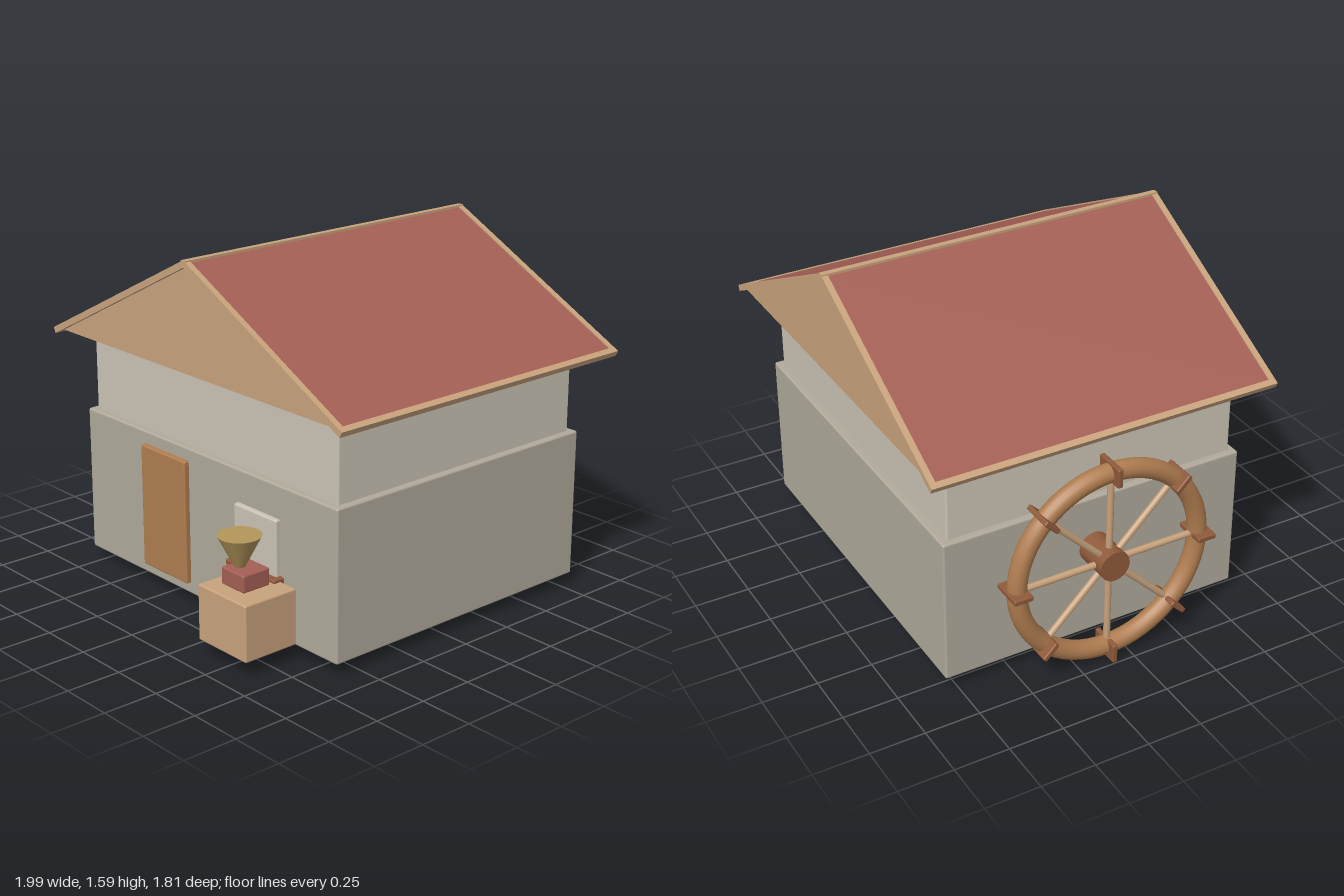
import * as THREE from 'three';
import { RoundedBoxGeometry } from 'three/addons/geometries/RoundedBoxGeometry.js';

const mat = (name, color) => {
  const m = new THREE.MeshStandardMaterial({ color });
  m.name = name;
  return m;
};

export function createModel() {
  const stone = mat('stone', 0xb0a99b);
  const plaster = mat('plaster', 0xcbc3b5);
  const lightWood = mat('light wood', 0xc8a27c);
  const wood = mat('wood', 0xb07d50);
  const darkWood = mat('dark wood', 0x8f5a3a);
  const red = mat('red tile', 0xa45f54);
  const brass = mat('brass', 0xb3965a);

  const model = new THREE.Group();
  model.name = 'watermill';

  const add = (name, geometry, material, parent = model) => {
    const mesh = new THREE.Mesh(geometry, material);
    mesh.name = name;
    parent.add(mesh);
    return mesh;
  };
  // Softly bevelled box given by its extents
  const block = (name, material, [x0, x1], [y0, y1], [z0, z1], bevel = 0.008) => {
    const geometry = new RoundedBoxGeometry(x1 - x0, y1 - y0, z1 - z0, 2, bevel);
    add(name, geometry, material).position.set((x0 + x1) / 2, (y0 + y1) / 2, (z0 + z1) / 2);
  };

  // Walls
  block('lowerWall', stone, [-0.805, 0.877], [0.055, 0.732], [-0.802, 0.622], 0.01);
  block('upperWall', plaster, [-0.775, 0.847], [0.7, 1.11], [-0.77, 0.592], 0.01);

  // Door, window and sill
  block('door', wood, [-0.38, -0.07], [0.108, 0.675], [0.6, 0.647]);
  block('window', plaster, [0.258, 0.53], [0.33, 0.585], [0.6, 0.645]);
  block('windowSill', darkWood, [0.236, 0.552], [0.308, 0.336], [0.6, 0.675]);

  // Crate, small mill and hopper by the window
  block('crate', lightWood, [0.34, 0.645], [0.07, 0.322], [0.635, 0.905]);
  block('millBox', red, [0.418, 0.56], [0.329, 0.407], [0.703, 0.843]);
  add('hopper', new THREE.CylinderGeometry(0.093, 0.024, 0.135, 32), brass)
    .position.set(0.492, 0.49, 0.805);

  // Gable prism under the roof
  const midX = 0.037, midZ = -0.095;
  const gable = new THREE.Shape([
    new THREE.Vector2(midX - 0.915, 1.1),
    new THREE.Vector2(midX + 0.915, 1.1),
    new THREE.Vector2(midX, 1.567),
  ]);
  add('gable', new THREE.ExtrudeGeometry(gable, { depth: 1.575, bevelEnabled: false }), lightWood)
    .position.z = midZ - 0.7875;

  // Roof slopes with verge and eave battens
  const run = 0.942, drop = 0.48, ridgeY = 1.578;
  const slope = Math.hypot(run, drop), length = 1.615, bar = 0.028;
  for (const side of [-1, 1]) {
    const half = new THREE.Group();
    half.name = side > 0 ? 'leftRoof' : 'rightRoof';
    half.position.set(midX + side * run / 2, ridgeY - drop / 2, midZ);
    half.rotation.z = -side * Math.atan2(drop, run);
    model.add(half);
    add('roofSlope', new THREE.BoxGeometry(slope, 0.018, length - bar), red, half);
    add('eaveBatten', new THREE.BoxGeometry(bar, bar, length), lightWood, half)
      .position.x = side * slope / 2;
    for (const end of [-1, 1]) {
      add('vergeBatten', new THREE.BoxGeometry(slope, bar, bar), lightWood, half)
        .position.z = end * (length - bar) / 2;
    }
  }
  add('ridgeBatten', new THREE.BoxGeometry(bar, bar, length), lightWood)
    .position.set(midX, ridgeY, midZ);

  // Water wheel, turning about x
  const wheel = new THREE.Group();
  wheel.name = 'waterWheel';
  wheel.position.set(-0.923, 0.487, midZ);
  model.add(wheel);
  const rimRadius = 0.437;
  add('rim', new THREE.TorusGeometry(rimRadius, 0.043, 16, 64), wood, wheel).rotation.y = Math.PI / 2;
  const hub = add('hub', new THREE.CylinderGeometry(0.07, 0.07, 0.185, 32), darkWood, wheel);
  hub.rotation.z = Math.PI / 2;
  hub.position.x = 0.04;
  for (let i = 0; i < 8; i++) {
    const arm = new THREE.Group();
    arm.name = 'wheelArm';
    arm.rotation.x = i * Math.PI / 4;
    wheel.add(arm);
    add('spoke', new THREE.CylinderGeometry(0.015, 0.015, rimRadius, 12), lightWood, arm)
      .position.y = rimRadius / 2;
    add('paddle', new RoundedBoxGeometry(0.148, 0.088, 0.024, 2, 0.006), darkWood, arm)
      .position.y = 0.443;
  }

  return model;
}
